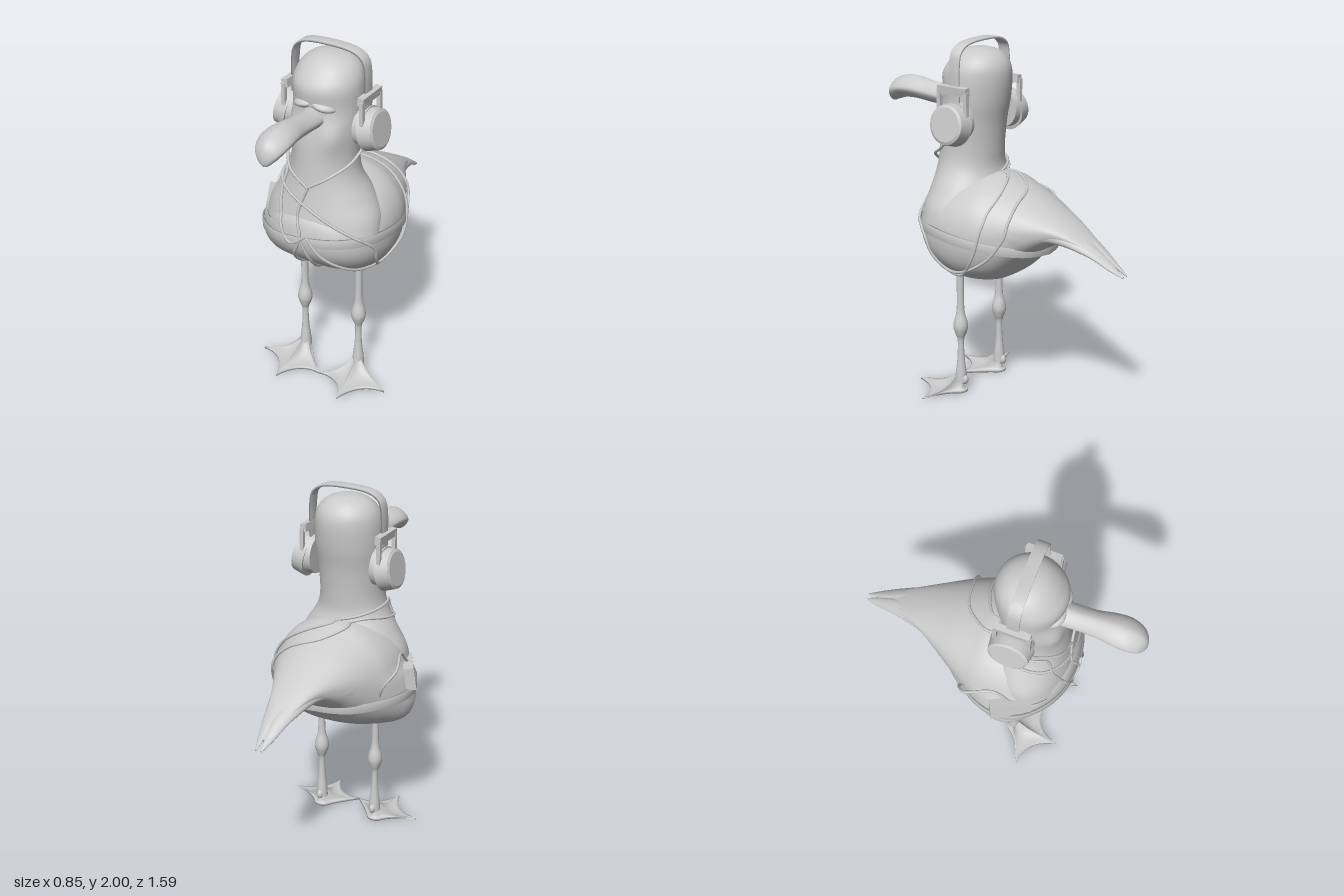
import * as THREE from 'three';

const V = (x, y, z) => new THREE.Vector3(x, y, z);
const grey = new THREE.MeshStandardMaterial({ color: 0xcccccc });
const greyDouble = new THREE.MeshStandardMaterial({ color: 0xcccccc, side: THREE.DoubleSide });

function add(parent, name, geometry, pos = [0, 0, 0], rot = [0, 0, 0], material = grey) {
  const mesh = new THREE.Mesh(geometry, material);
  mesh.name = name;
  mesh.position.set(...pos);
  mesh.rotation.set(...rot);
  parent.add(mesh);
  return mesh;
}

// Catmull-Rom interpolation of every column of a station table
function refine(rows, n = 6) {
  const out = [];
  const at = i => rows[THREE.MathUtils.clamp(i, 0, rows.length - 1)];
  for (let i = 0; i < rows.length - 1; i++) {
    for (let k = 0; k < n; k++) {
      const t = k / n;
      out.push(rows[i].map((b, c) => {
        const a = at(i - 1)[c], d = at(i + 1)[c], e = at(i + 2)[c];
        return b + 0.5 * t * (d - a + t * (2 * a - 5 * b + 4 * d - e + t * (3 * (b - d) + e - a)));
      }));
    }
  }
  out.push(rows[rows.length - 1]);
  return out;
}

// Skin closed rings of points, close both ends, and turn the faces outward
function loft(rings) {
  const m = rings[0].length, pts = rings.flat(), idx = [];
  for (let i = 0; i < rings.length - 1; i++) {
    for (let j = 0; j < m; j++) {
      const a = i * m + j, b = i * m + (j + 1) % m;
      idx.push(a, b, a + m, b, b + m, a + m);
    }
  }
  const last = (rings.length - 1) * m;
  for (let j = 1; j < m - 1; j++) idx.push(0, j + 1, j, last, last + j, last + j + 1);
  let volume = 0;
  for (let i = 0; i < idx.length; i += 3) {
    volume += pts[idx[i]].dot(pts[idx[i + 1]].clone().cross(pts[idx[i + 2]]));
  }
  if (volume < 0) idx.reverse();
  const g = new THREE.BufferGeometry().setFromPoints(pts);
  g.setIndex(idx);
  g.computeVertexNormals();
  return g;
}

const circle = (n, fn) => Array.from({ length: n }, (_, j) => {
  const a = j / n * Math.PI * 2;
  return fn(Math.cos(a), Math.sin(a));
});
const pow = (v, p) => Math.sign(v) * Math.abs(v) ** p;
const bell = (v, mid, width) => Math.exp(-(((v - mid) / width) ** 2));

export function createModel() {
  const bird = new THREE.Group();
  bird.name = 'bird';

  // Body running into the tail: z, top, bottom, half width; a full pouch swells the right hip
  const bodyRows = refine([
    [0.462, 0.985, 0.975, 0.004], [0.44, 1.08, 0.89, 0.14], [0.38, 1.15, 0.81, 0.245],
    [0.28, 1.22, 0.735, 0.32], [0.14, 1.27, 0.685, 0.352], [0, 1.28, 0.69, 0.345],
    [-0.1, 1.25, 0.725, 0.312], [-0.2, 1.21, 0.815, 0.265], [-0.28, 1.172, 0.89, 0.22],
    [-0.42, 1.1, 0.98, 0.14], [-0.55, 1.025, 0.972, 0.085], [-0.68, 0.94, 0.91, 0.045],
    [-0.74, 0.898, 0.882, 0.02]]);
  const body = add(bird, 'body', loft(bodyRows.map(([z, top, bot, w]) => circle(64, (c, s) => {
    const hip = bell(z, 0.17, 0.19) * THREE.MathUtils.smoothstep(-c, 0, 0.5) * THREE.MathUtils.smoothstep(-s, -0.25, 0.2);
    const p = (s < 0 ? 0.8 : 1) - 0.4 * hip;
    return V(0.01 + w * pow(c, p) - 0.065 * hip, (top + bot) / 2 + (top - bot) / 2 * pow(s, p), z);
  }))));

  // Shoulders, neck and head with soft cheeks: y, front z, back z, half width
  const headRows = refine([
    [1.0, 0.45, 0.02, 0.335], [1.1, 0.43, 0.0, 0.318], [1.2, 0.41, 0.0, 0.262],
    [1.3, 0.395, 0.035, 0.202], [1.4, 0.388, 0.035, 0.18], [1.55, 0.378, 0.02, 0.184],
    [1.68, 0.355, -0.005, 0.188], [1.8, 0.362, -0.016, 0.187], [1.87, 0.322, -0.004, 0.168],
    [1.92, 0.27, 0.035, 0.125], [1.945, 0.22, 0.09, 0.065], [1.952, 0.16, 0.15, 0.005]]);
  const head = add(bird, 'neckAndHead', loft(headRows.map(([y, f, b, w]) => circle(48, (c, s) => {
    const cheek = s > 0 ? 1 + 0.1 * bell(y, 1.56, 0.09) * bell(Math.abs(c), 0.6, 0.25) : 1;
    return V(0.01 + w * c * cheek, y, (f + b) / 2 + (f - b) / 2 * s * cheek);
  }))));

  // Bill: z, top, bottom, half width, with a ridged diamond section
  const billRows = refine([
    [0.3, 1.72, 1.58, 0.075], [0.38, 1.71, 1.595, 0.07], [0.5, 1.724, 1.602, 0.07],
    [0.6, 1.737, 1.61, 0.085], [0.68, 1.733, 1.605, 0.09], [0.745, 1.71, 1.585, 0.075],
    [0.78, 1.678, 1.574, 0.045], [0.794, 1.64, 1.595, 0.012]]);
  add(bird, 'bill', loft(billRows.map(([z, t, b, w]) => circle(28, (c, s) =>
    V(0.01 + w * pow(c, 1.25), (t + b) / 2 + (t - b) / 2 * pow(s, 1.25), z)))));

  // Heavy brow over the bill, sloping down to each side
  for (const s of [1, -1]) {
    const brow = add(bird, 'brow', new THREE.SphereGeometry(1, 24, 16), [0.01 + s * 0.05, 1.718, 0.3], [0, s * 0.25, -s * 0.2]);
    brow.scale.set(0.075, 0.03, 0.07);
  }

  // Folded wings: z, centre x, centre y, half width, half height
  const wingRows = refine([
    [0.08, 0.27, 1.04, 0.004, 0.01], [0, 0.255, 1.045, 0.06, 0.09], [-0.2, 0.17, 1.04, 0.095, 0.11],
    [-0.4, 0.083, 1.04, 0.064, 0.05], [-0.6, 0.042, 0.97, 0.04, 0.022],
    [-0.72, 0.025, 0.9, 0.023, 0.014], [-0.795, 0.016, 0.856, 0.005, 0.005]]);
  for (const s of [1, -1]) {
    add(bird, 'wing', loft(wingRows.map(([z, x, y, w, h]) =>
      circle(24, (c, n) => V(0.01 + s * (x + w * c), y + h * n - 0.3 * w * c, z)))));
  }

  // Points hugging the torso, found by rays aimed at its axis: [degrees from front, y]
  bird.updateMatrixWorld(true);
  const ray = new THREE.Raycaster();
  const torso = [body, head, ...bird.children.filter(o => o.name === 'wing')];
  function hug(rows, lift) {
    return rows.map(([deg, y]) => {
      const a = THREE.MathUtils.degToRad(deg), dir = V(Math.sin(a), 0, Math.cos(a));
      const axis = V(0.01, y, 0.15);
      ray.set(axis.clone().addScaledVector(dir, 2), dir.clone().negate());
      const hit = ray.intersectObjects(torso, false)[0];
      const reach = hit ? Math.min(2 - hit.distance, 0.46) : 0.3;
      return axis.addScaledVector(dir, reach + lift);
    });
  }
  const tube = (pts, r = 0.008) => new THREE.TubeGeometry(new THREE.CatmullRomCurve3(pts), pts.length * 4, r, 6);

  // Belt around the belly
  const beltRows = Array.from({ length: 60 }, (_, i) => {
    const a = i / 60 * Math.PI * 2;
    return [i * 6, 0.94 + 0.035 * Math.cos(a) + 0.045 * Math.sin(a)];
  });
  const beltPts = hug(beltRows, 0.004);
  beltPts.push(beltPts[0].clone());
  const section = [[-0.006, -0.026], [0.006, -0.026], [0.006, 0.026], [-0.006, 0.026]];
  add(bird, 'belt', loft(beltPts.map(p => {
    const out = V(p.x, 0, p.z - 0.15).normalize();
    return section.map(([o, y]) => p.clone().addScaledVector(out, o).add(V(0, y, 0)));
  })), undefined, undefined, greyDouble);

  // Cords tangled over the body
  const loops = [
    [[-60, 1.26], [-20, 1.21], [10, 1.15], [45, 1.05], [68, 0.95], [75, 0.85], [88, 0.77], [108, 0.78],
      [130, 0.87], [142, 1.0], [147, 1.1], [158, 1.18], [180, 1.23], [210, 1.27], [250, 1.29], [300, 1.26]],
    [[5, 1.02], [25, 0.88], [65, 0.76], [105, 0.75], [120, 0.88], [128, 1.06], [138, 1.17],
      [165, 1.26], [220, 1.3], [310, 1.34], [322, 1.2], [335, 1.03], [347, 0.95], [365, 1.02]]];
  for (const rows of loops) add(bird, 'bodyCord', tube(hug(refine(rows), 0.012)));
  const front = [[2, 1.28], [-8, 1.13], [-2, 1.02], [-4, 0.95], [-14, 0.86], [-20, 0.8], [-30, 0.74]];
  add(bird, 'frontCord', tube(hug(refine(front), 0.01)));
  add(bird, 'bellyCord', tube(hug(refine([[0, 0.98], [6, 0.86], [5, 0.78], [2, 0.72]]), 0.01)));
  add(bird, 'playerCord', tube([V(-0.34, 1.03, 0.2), V(-0.345, 1.12, 0.1), V(-0.39, 1.08, -0.05),
    V(-0.34, 1.0, -0.1), V(-0.29, 0.88, -0.06)]));

  // Music player tucked behind the belt
  const player = new THREE.Group();
  player.name = 'musicPlayer';
  player.position.set(-0.35, 0.975, 0.2);
  player.rotation.set(0, 0.5, -0.15);
  bird.add(player);
  add(player, 'playerCase', new THREE.BoxGeometry(0.055, 0.13, 0.22));
  for (const y of [-0.035, 0.005, 0.045]) add(player, 'playerButton', new THREE.BoxGeometry(0.03, 0.026, 0.02), [0, y, 0.115]);

  // Headphones: band, then a yoke, cushion, cup and cord on each side
  const phones = new THREE.Group();
  phones.name = 'headphones';
  phones.position.set(0.01, 0, 0.155);
  bird.add(phones);
  const arch = new THREE.CatmullRomCurve3([[-0.215, 1.62], [-0.217, 1.76], [-0.215, 1.87], [-0.2, 1.94], [-0.15, 1.978],
    [0, 1.993], [0.15, 1.978], [0.2, 1.94], [0.215, 1.87], [0.217, 1.76], [0.215, 1.62]].map(([x, y]) => V(x, y, 0)));
  add(phones, 'headband', loft(arch.getPoints(60).map((p, i) => {
    const t = arch.getTangent(i / 60), n = V(-t.y, t.x, 0);
    return [[-0.006, -0.032], [0.006, -0.032], [0.006, 0.032], [-0.006, 0.032]].map(([o, z]) =>
      p.clone().addScaledVector(n, o).add(V(0, 0, z)));
  })));
  for (const s of [1, -1]) {
    add(phones, 'yokeTop', new THREE.BoxGeometry(0.035, 0.045, 0.19), [s * 0.225, 1.75, 0], [0, 0, -s * 0.1]);
    for (const z of [-0.09, 0.09]) add(phones, 'yokeArm', new THREE.BoxGeometry(0.022, 0.17, 0.022), [s * 0.232, 1.665, z]);
    const tilt = [0, 0, -s * (Math.PI / 2 - 0.18)];
    add(phones, 'cushion', new THREE.CylinderGeometry(0.11, 0.105, 0.05, 32), [s * 0.205, 1.58, 0], [0, 0, -s * Math.PI / 2]);
    add(phones, 'cup', new THREE.CylinderGeometry(0.107, 0.118, 0.075, 32), [s * 0.255, 1.572, 0], tilt);
    add(phones, 'cupFace', new THREE.CylinderGeometry(0.092, 0.107, 0.008, 32), [s * 0.295, 1.579, 0], tilt);
    add(bird, 'earCord', tube([V(0.01 + s * 0.22, 1.48, 0.2), V(0.01 + s * 0.19, 1.41, 0.28),
      V(0.01 + s * 0.11, 1.345, 0.385), V(0.015, 1.275, 0.41)]));
  }

  // Legs and webbed feet
  const legProfile = [[0.034, 0.06], [0.03, 0.12], [0.021, 0.2], [0.018, 0.31], [0.03, 0.35], [0.041, 0.39],
    [0.037, 0.43], [0.024, 0.48], [0.02, 0.56], [0.021, 0.74]];
  const leg = new THREE.LatheGeometry(refine(legProfile, 4).map(p => new THREE.Vector2(...p)), 20);
  for (const s of [1, -1]) {
    const limb = new THREE.Group();
    limb.name = s > 0 ? 'leftLeg' : 'rightLeg';
    limb.position.set(0.01 + s * 0.175, 0, 0.165);
    bird.add(limb);
    add(limb, 'shank', leg);
    const web = new THREE.Shape();
    web.moveTo(0.225, 0.1);
    web.quadraticCurveTo(0.07, 0.1, 0.025, 0.285);
    web.quadraticCurveTo(-0.03, 0.115, -0.175, 0.14);
    web.quadraticCurveTo(-0.07, 0.04, -0.035, -0.02);
    web.quadraticCurveTo(0, -0.05, 0.04, -0.02);
    web.quadraticCurveTo(0.08, 0.05, 0.225, 0.1);
    const outline = web.getPoints(10).slice(0, -1);
    const steps = [0.06, 0.13, 0.2, 0.35, 0.5, 0.65, 0.8, 0.92, 1];
    const rings = steps.map(r => outline.map(p => {
      const ridge = 0.1 * Math.max(0, p.length() - 0.13) * r * (1 - r);
      return V(s * p.x * r, 0.012 + 0.14 * (1 - r) ** 3.2 + ridge, p.y * r);
    }));
    rings.push(outline.map(p => V(s * p.x, 0, p.y)), outline.map(() => V(0, 0, 0)));
    add(limb, 'foot', loft(rings));
    const spur = add(limb, 'heelSpur', new THREE.SphereGeometry(0.022, 14, 10), [0, 0.075, -0.023]);
    spur.scale.set(0.9, 1.3, 1.1);
  }
  return bird;
}
